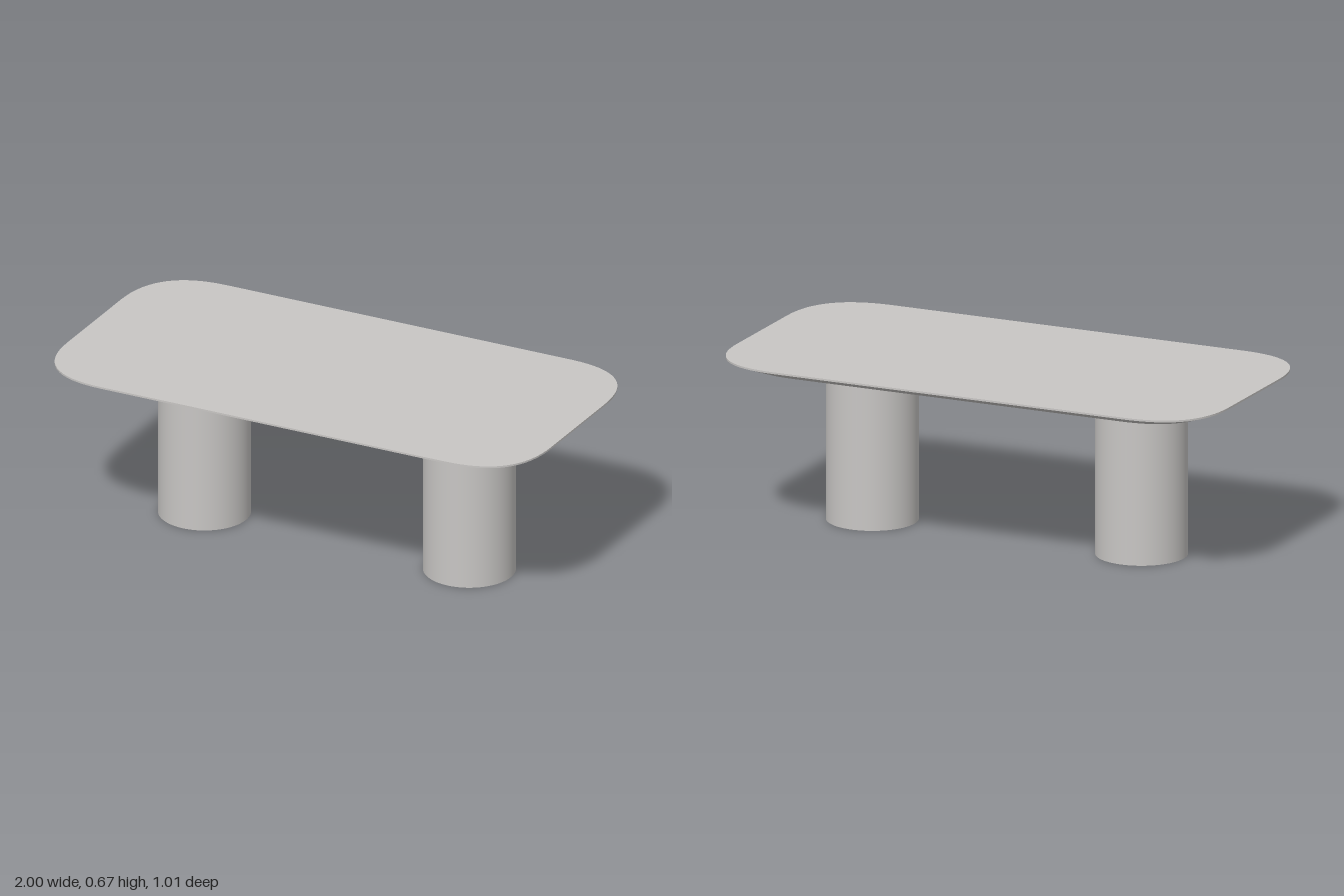
import * as THREE from 'three';
import { toCreasedNormals, mergeGeometries } from 'three/addons/utils/BufferGeometryUtils.js';

// Rounded rectangle with soft corners, as an ordered loop of points
function outline(halfX, halfZ, corner) {
  const points = [], steps = 16;
  for (const [sx, sz, flip] of [[1, 1, false], [-1, 1, true], [-1, -1, false], [1, -1, true]]) {
    const a = new THREE.Vector2(sx * halfX, sz * (halfZ - corner));
    const b = new THREE.Vector2(sx * (halfX - corner), sz * halfZ);
    const control = new THREE.Vector2(sx * halfX, sz * halfZ);
    const curve = new THREE.QuadraticBezierCurve(flip ? b : a, control, flip ? a : b);
    points.push(...curve.getPoints(steps));
  }
  return points;
}

// Flat face filling a loop at height y
function cap(loop, y, up) {
  const geometry = new THREE.ShapeGeometry(new THREE.Shape(loop));
  geometry.rotateX(Math.PI / 2); // shape y becomes z, facing down
  if (up) geometry.index.array.reverse();
  geometry.translate(0, y, 0);
  const flat = geometry.toNonIndexed();
  flat.deleteAttribute('uv');
  flat.deleteAttribute('normal');
  return flat;
}

// Wall joining two loops at different heights
function band(lower, y0, upper, y1) {
  const positions = [];
  lower.forEach((p, i) => {
    const j = (i + 1) % lower.length;
    const q = lower[j], r = upper[i], s = upper[j];
    positions.push(p.x, y0, p.y, r.x, y1, r.y, q.x, y0, q.y);
    positions.push(q.x, y0, q.y, r.x, y1, r.y, s.x, y1, s.y);
  });
  const geometry = new THREE.BufferGeometry();
  geometry.setAttribute('position', new THREE.Float32BufferAttribute(positions, 3));
  return geometry;
}

export function createModel() {
  const model = new THREE.Group();
  model.name = 'table';
  const stone = new THREE.MeshStandardMaterial({ color: 0xc8c6c4 });
  stone.name = 'warm grey';

  // Tabletop: thin upright lip over a wide bevelled underside
  const rim = outline(1, 0.505, 0.29);
  const base = outline(0.925, 0.43, 0.26);
  const topGeometry = mergeGeometries([
    cap(base, 0.628, false),
    band(base, 0.628, rim, 0.66),
    band(rim, 0.66, rim, 0.667),
    cap(rim, 0.667, true),
  ]);
  const tabletop = new THREE.Mesh(toCreasedNormals(topGeometry, 0.3), stone);
  tabletop.name = 'tabletop';
  model.add(tabletop);

  // Two round column legs
  const legGeometry = new THREE.CylinderGeometry(0.171, 0.171, 0.628, 64);
  for (const [name, x] of [['rightLeg', -0.54], ['leftLeg', 0.555]]) {
    const leg = new THREE.Mesh(legGeometry, stone);
    leg.name = name;
    leg.position.set(x, 0.314, 0.007);
    model.add(leg);
  }
  return model;
}
